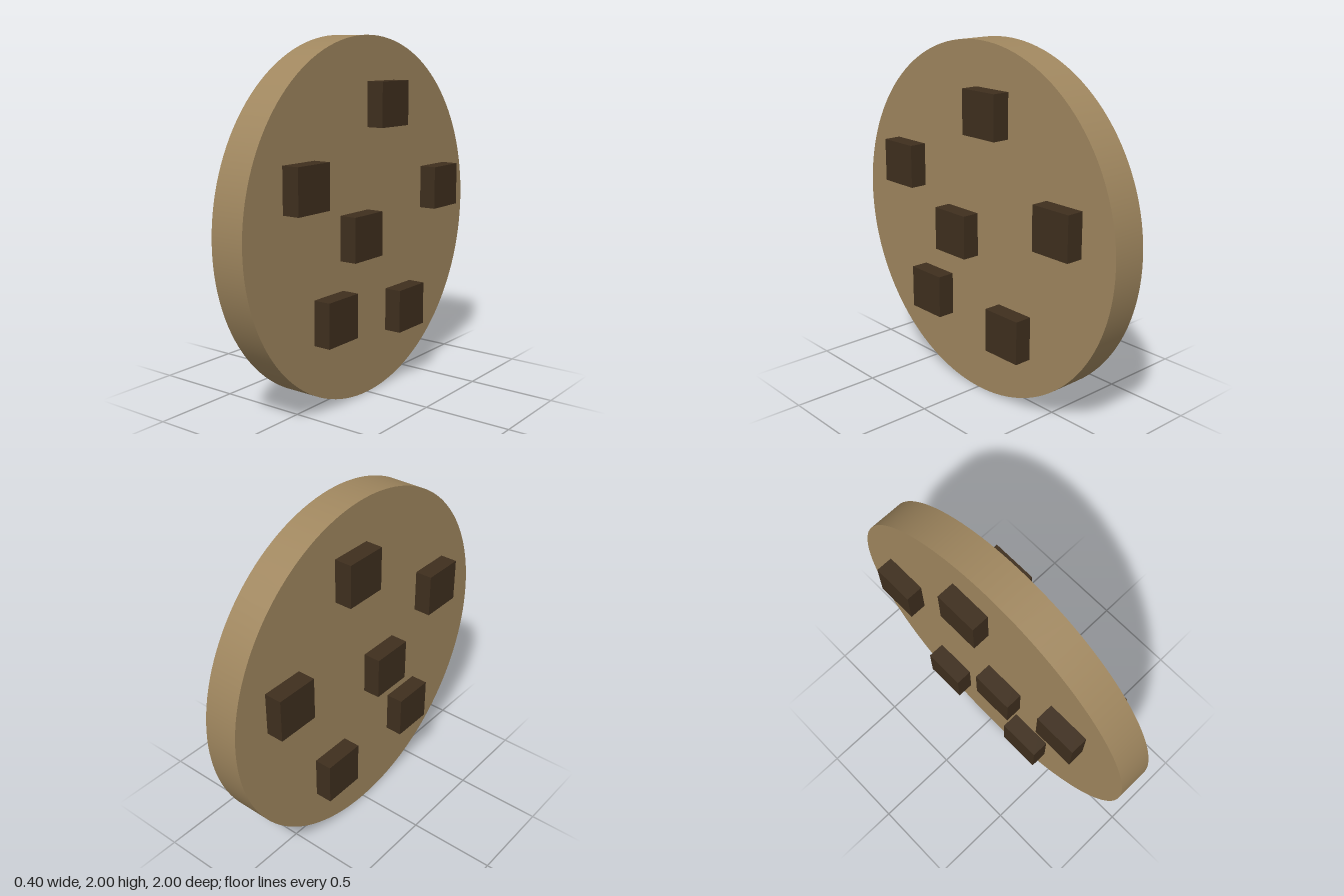
import * as THREE from 'three';

export function createModel() {
  const model = new THREE.Group();
  const biscuitMat = new THREE.MeshStandardMaterial({ color: 0xa0875f });
  const chunkMat = new THREE.MeshStandardMaterial({ color: 0x3f2f1e });

  // Upright round disc, its faces pointing left and right
  const disc = new THREE.Mesh(new THREE.CylinderGeometry(1, 1, 0.2, 128), biscuitMat);
  disc.name = 'disc';
  disc.rotation.z = Math.PI / 2;
  disc.position.y = 1;
  model.add(disc);

  // Square chunks passing right through the disc: [y, z] of each centre
  const chunkGeo = new THREE.BoxGeometry(0.4, 0.247, 0.247);
  const centres = [
    [1.632, -0.118], [1.247, 0.584], [1.118, -0.653],
    [0.932, 0.124], [0.517, 0.347], [0.446, -0.298],
  ];
  centres.forEach(([y, z], i) => {
    const chunk = new THREE.Mesh(chunkGeo, chunkMat);
    chunk.name = `chunk${i + 1}`;
    chunk.position.set(0, y, z);
    model.add(chunk);
  });

  return model;
}
